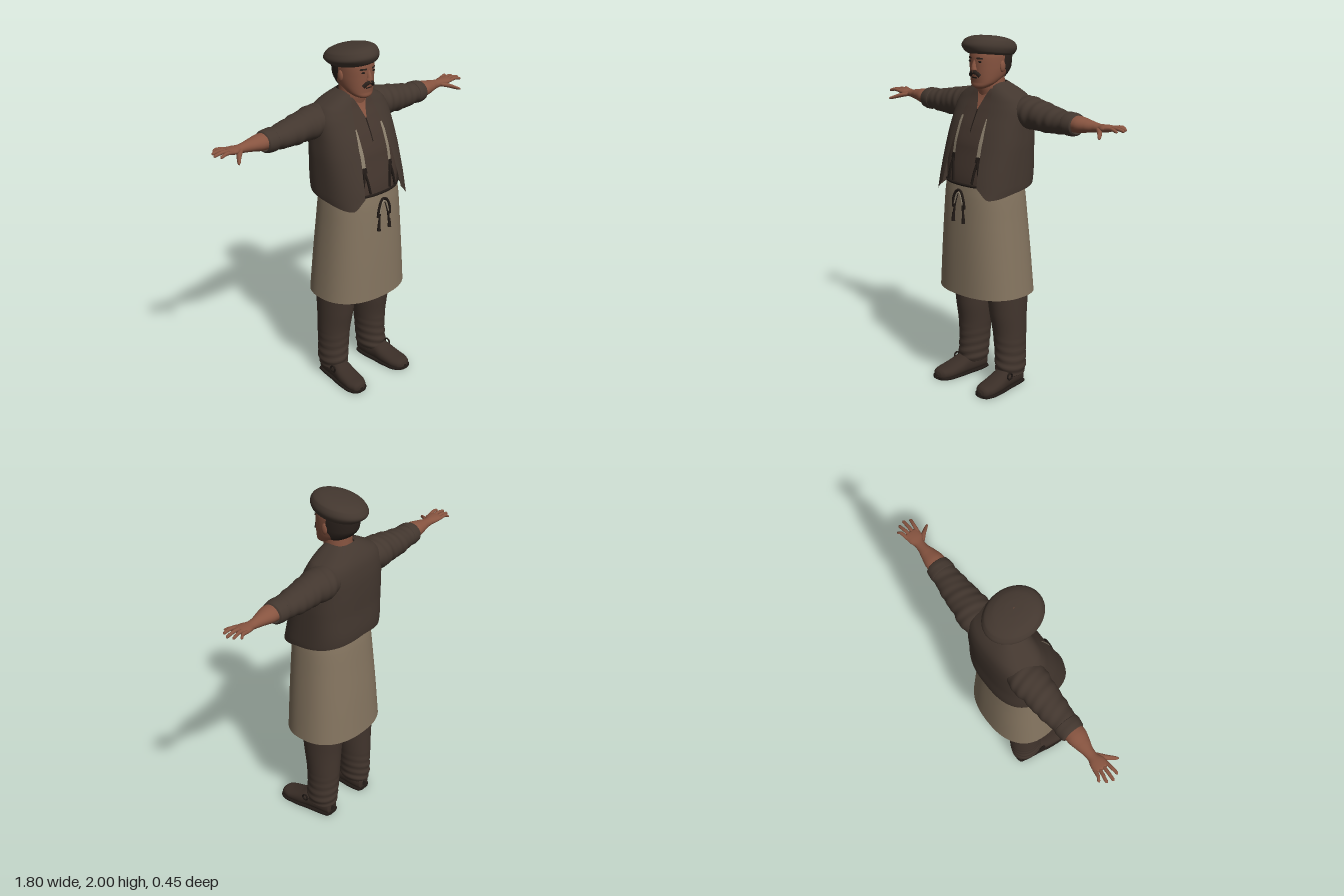
import * as THREE from 'three';
import { ParametricGeometry } from 'three/addons/geometries/ParametricGeometry.js';

const mat = (name, color, side = THREE.DoubleSide) => {
  const m = new THREE.MeshStandardMaterial({ color, side });
  m.name = name;
  return m;
};
const M = {
  skin: mat('skin', 0x875440), vest: mat('dark brown wool', 0x43372f), shirt: mat('brown shirt', 0x44362e),
  apron: mat('tan apron', 0x857560), trousers: mat('brown trousers', 0x43362e), shoes: mat('leather', 0x3a2e27),
  hair: mat('dark hair', 0x2a211c), strap: mat('beige strap', 0x8c806d), dark: mat('dark trim', 0x211a16),
};

// Smooth monotone lookup in rows of [position, ...values]
function sample(rows, p) {
  const n = rows.length;
  let i = 0;
  while (i < n - 2 && p > rows[i + 1][0]) i++;
  const a = rows[i], b = rows[i + 1], h = b[0] - a[0];
  const t = THREE.MathUtils.clamp((p - a[0]) / h, 0, 1);
  return a.slice(1).map((_, j) => {
    const k = j + 1;
    const d = q => (rows[q + 1][k] - rows[q][k]) / (rows[q + 1][0] - rows[q][0]);
    const m = q => {
      if (q === 0) return d(0);
      if (q === n - 1) return d(n - 2);
      const e = d(q - 1), f = d(q);
      return e * f > 0 ? 2 * e * f / (e + f) : 0;
    };
    const t2 = t * t, t3 = t2 * t;
    return a[k] * (2 * t3 - 3 * t2 + 1) + b[k] * (3 * t2 - 2 * t3) + h * (m(i) * (t3 - 2 * t2 + t) + m(i + 1) * (t3 - t2));
  });
}
const pw = (v, p) => Math.sign(v) * Math.abs(v) ** p;

// Skin over elliptical rings: rows are [position on axis, centre 1, centre 2, radius 1, radius 2]
function loft(rows, { axis = 'y', p = 1, side = 1, around = 28, steps = 4, ripple = 0, fix = null } = {}) {
  const n = rows.length - 1;
  return new ParametricGeometry((u, v, out) => {
    const a = (side > 0 ? u : 1 - u) * Math.PI * 2;
    const i = Math.min(n - 1, Math.floor(v * n));
    const pos = THREE.MathUtils.lerp(rows[i][0], rows[i + 1][0], v * n - i);
    const [c1, c2, r1, r2] = sample(rows, pos);
    const k = 1 + ripple * Math.sin(pos * 95 + 1.5 * Math.sin(a)) * Math.sin(pos * 23 + a);
    const s = c1 + r1 * k * pw(Math.sin(a), p), c = c2 + r2 * k * pw(Math.cos(a), p);
    if (axis === 'y') out.set(s, pos, c);
    else if (axis === 'x') out.set(pos, c, s);
    else out.set(c, s, pos);
    if (fix) fix(out);
    out.x *= side;
  }, around, n * steps);
}

// Height of a lofted front surface, and thin plates that follow it
function frontZ(rows, p, x, y) {
  const [, c, w, r] = sample(rows, y);
  const s = Math.min(1, (Math.abs(x) / w) ** (1 / p));
  return c + r * Math.sqrt(1 - s * s) ** p;
}
function plate(rows, base, p, offset) {
  return new ParametricGeometry((u, v, out) => {
    const y = THREE.MathUtils.lerp(rows[0][0], rows[rows.length - 1][0], v);
    const [a, b] = sample(rows, y), x = a + (b - a) * u;
    out.set(x, y, frontZ(base, p, x, y) + offset);
  }, 6, 14);
}
// Open shell that wraps round the back, leaving a gap in front
function wrap(base, p, gap, hem, top) {
  return new ParametricGeometry((u, v, out) => {
    const y = THREE.MathUtils.lerp(sample(hem, 1 - Math.abs(2 * u - 1))[0], top, v);
    const [, c, w, r] = sample(base, y), g = gap(y, w), a = g + u * 2 * (Math.PI - g);
    out.set(w * pw(Math.sin(a), p), y, c + r * pw(Math.cos(a), p));
  }, 56, 26);
}
// Rows of [y, half width, front z, back z] turned into loft rows
const body = rows => rows.map(([y, w, f, b]) => [y, 0, (f + b) / 2, w, (f - b) / 2]);

export function createModel() {
  const root = new THREE.Group();
  const add = (name, geo, m, parent = root) => {
    const mesh = new THREE.Mesh(geo, m);
    mesh.name = name;
    parent.add(mesh);
    return mesh;
  };
  const cord = (name, pts, r, m) => add(name, new THREE.TubeGeometry(
    new THREE.CatmullRomCurve3(pts.map(q => new THREE.Vector3(...q))), 20, r, 8), m);

  // Torso: shirt with an open vest over it
  const P = 0.75;
  const shirt = body([[1.12, .2, .17, -.16], [1.2, .215, .178, -.17], [1.4, .235, .142, -.205], [1.5, .235, .108, -.207],
    [1.6, .228, .06, -.2], [1.66, .2, .03, -.185], [1.7, .145, .015, -.16], [1.73, .07, 0, -.12]]);
  const vest = body([[1.13, .25, .238, -.2], [1.2, .256, .218, -.22], [1.4, .255, .157, -.222], [1.5, .25, .12, -.222],
    [1.6, .245, .072, -.215], [1.66, .22, .043, -.2], [1.7, .16, .027, -.175], [1.745, .075, 0, -.125]]);
  add('shirt', loft(shirt, { p: P, around: 48 }), M.shirt);
  const opening = [[1.13, .15], [1.2, .135], [1.4, .118], [1.55, .1], [1.7, .07], [1.745, .055]];
  add('vest', wrap(vest, P, (y, w) => Math.asin((sample(opening, y)[0] / w) ** (1 / P)),
    [[0, 1.2], [.12, 1.14], [.5, 1.18], [1, 1.225]], 1.745), M.vest);
  add('openNeckline', plate([[1.6, -.004, .004], [1.66, -.025, .025], [1.725, -.055, .055]], shirt, P, .004), M.skin);
  add('placket', plate([[1.48, -.003, .003], [1.6, -.004, .004]], shirt, P, .004), M.dark);

  // Apron with waist cord and bow
  const apron = body([[.567, .28, .212, -.23], [.8, .261, .208, -.215], [1, .244, .201, -.198], [1.13, .233, .194, -.186], [1.2, .224, .186, -.176]]);
  add('apron', loft(apron, { p: .85, around: 56 }), M.apron);
  add('waistCord', loft(body([[1.192, .226, .189, -.18], [1.199, .229, .191, -.183], [1.206, .222, .184, -.174]]), { p: .85, around: 56 }), M.dark);
  cord('bowLoop', [[-.045, 1.07, .208], [-.04, 1.12, .211], [-.018, 1.165, .208], [0, 1.172, .206], [.018, 1.165, .208], [.04, 1.12, .211], [.045, 1.07, .208]], .007, M.dark);
  cord('bowLoopInner', [[-.032, 1.09, .21], [-.012, 1.15, .209], [0, 1.157, .208], [.012, 1.15, .209], [.032, 1.09, .21]], .005, M.strap);

  // Head and neck
  const head = [[1.712, 0, .045, .02, .018], [1.725, 0, .035, .05, .045], [1.75, 0, .01, .074, .071], [1.79, 0, -.02, .088, .105],
    [1.83, 0, -.032, .094, .119], [1.88, 0, -.034, .096, .122], [1.92, 0, -.035, .09, .115], [1.935, 0, -.035, .04, .05]];
  add('neck', loft([[1.6, 0, -.065, .08, .075], [1.68, 0, -.05, .078, .08], [1.73, 0, -.04, .075, .078], [1.82, 0, -.04, .07, .075]]), M.skin);
  add('head', loft(head, { p: .92, around: 40 }), M.skin);
  const scalp = head.map(([y, a, b, w, r]) => [y, a, b, w + .007, r + .007]);
  add('hair', wrap(scalp, .92, () => 1.62, [[0, 1.825], [.12, 1.81], [.3, 1.775], [1, 1.765]], 1.92), M.hair);
  add('nose', loft([[1.812, 0, .085, .008, .006], [1.82, 0, .088, .019, .018], [1.835, 0, .088, .014, .016],
    [1.865, 0, .082, .009, .01], [1.88, 0, .078, .005, .006]], { around: 16 }), M.skin);
  add('mouth', plate([[1.772, -.018, .018], [1.779, -.022, .022]], head, .92, .003), M.dark);

  // Flat cap, tipped back and to one side
  const cap = add('cap', loft([[-.002, 0, -.03, .06, .07], [0, 0, -.03, .1, .122], [.018, -.004, -.031, .124, .152], [.044, -.009, -.033, .137, .166],
    [.072, -.006, -.03, .127, .152], [.092, -.003, -.022, .095, .115], [.102, 0, -.015, .045, .055], [.104, 0, -.015, .002, .002]], { around: 44 }), M.vest);
  cap.position.y = 1.893;
  cap.rotation.set(-.14, 0, .06);

  for (const side of [1, -1]) {
    const label = side > 0 ? 'left' : 'right';
    const span = (y, a, b) => side > 0 ? [y, a, b] : [y, -b, -a];
    const face = (x, y, d) => [side * x, y, frontZ(head, .92, x, y) + d];

    // Face details
    const ear = add(label + 'Ear', new THREE.SphereGeometry(1, 14, 10), M.skin);
    ear.position.set(side * .099, 1.835, -.03);
    ear.scale.set(.01, .031, .019);
    const eye = add(label + 'Eye', new THREE.SphereGeometry(1, 12, 8), M.dark);
    eye.position.set(...face(.036, 1.863, 0));
    eye.scale.set(.013, .006, .004);
    add(label + 'Eyebrow', plate([span(1.877, .018, .056), span(1.886, .02, .052)], head, .92, .004), M.hair);
    cord(label + 'Moustache', [face(0, 1.806, .006), face(.018, 1.802, .005), face(.036, 1.785, .001)], .011, M.hair);

    // Shirt collar, braces and their forked ends
    add(label + 'Collar', plate([span(1.6, .004, .014), span(1.66, .025, .045), span(1.715, .052, .078)], shirt, P, .009), M.shirt);
    add(label + 'Brace', plate([span(1.345, .084, .107), span(1.56, .088, .109)], shirt, P, .007), M.strap);
    add(label + 'BraceClip', plate([span(1.33, .08, .111), span(1.36, .082, .109)], shirt, P, .009), M.dark);
    for (const x of [.072, .122])
      cord(label + 'BraceFork', [[1.335, .095], [1.28, (x + .095) / 2], [1.21, x]].map(([y, q]) => [side * q, y, frontZ(shirt, P, q, y) + .005]), .007, M.dark);

    // Bow ends hanging down the apron
    cord(label + 'BowEnd', [[side * .012, 1.16, .203], [side * .03, 1.09, .208], [side * .04, 1.0, .211]], .006, M.dark);
    const tip = add(label + 'BowTip', new THREE.CylinderGeometry(.006, .011, .05, 10), M.dark);
    tip.position.set(side * .04, 1.015, .212);

    // Sleeve with rolled cuff
    add(label + 'Sleeve', loft([[.13, -.1, 1.6, .08, .07], [.22, -.105, 1.592, .102, .09], [.3, -.101, 1.588, .092, .083], [.4, -.1, 1.577, .083, .074],
      [.5, -.096, 1.573, .07, .061], [.56, -.095, 1.573, .062, .055]], { axis: 'x', side, around: 36, steps: 10, ripple: .035 }), M.vest);
    add(label + 'Cuff', loft([[.515, -.095, 1.574, .058, .05], [.522, -.095, 1.574, .07, .062], [.55, -.095, 1.573, .071, .063],
      [.578, -.095, 1.573, .066, .058], [.586, -.095, 1.573, .056, .048]], { axis: 'x', side, ripple: .02 }), M.vest);

    // Forearm, palm, fingers and thumb
    add(label + 'Forearm', loft([[.52, -.094, 1.576, .05, .045], [.6, -.093, 1.579, .055, .044], [.66, -.095, 1.579, .042, .034], [.71, -.097, 1.578, .029, .026],
      [.735, -.097, 1.579, .028, .022], [.775, -.096, 1.583, .042, .02], [.81, -.098, 1.586, .044, .015], [.822, -.098, 1.587, .025, .006]], { axis: 'x', side }), M.skin);
    for (const [z0, z1, x1] of [[-.132, -.15, .862], [-.11, -.122, .888], [-.087, -.09, .9], [-.064, -.055, .884]])
      add(label + 'Finger', loft([[.795, z0, 1.586, .0105, .01], [.84, (z0 + z1) / 2, 1.593, .0098, .0095], [x1 - .008, z1, 1.586, .0085, .008], [x1, z1, 1.584, .002, .002]],
        { axis: 'x', side, around: 12 }), M.skin);
    add(label + 'Thumb', loft([[.735, -.08, 1.576, .016, .012], [.775, -.047, 1.567, .02, .013], [.802, -.014, 1.556, .016, .01], [.816, .002, 1.551, .009, .007], [.82, .006, 1.55, .002, .002]],
      { axis: 'x', side, around: 14 }), M.skin);

    // Trouser leg with folds gathered at the ankle
    add(label + 'TrouserLeg', loft([[.06, .152, -.05, .05, .06], [.072, .152, -.05, .073, .088], [.12, .152, -.05, .081, .097], [.2, .147, -.053, .083, .098],
      [.3, .143, -.052, .088, .102], [.45, .137, -.043, .098, .117], [.57, .135, -.04, .103, .13], [.8, .12, -.02, .115, .14], [1.1, .11, 0, .1, .13]],
      { side, around: 32, steps: 7, fix: q => {
        const k = 1 + .045 * Math.max(0, 1 - q.y / .32) * Math.sin(q.y * 120 + q.x * 30);
        q.x = .148 + (q.x - .148) * k;
        q.z = -.05 + (q.z + .05) * k;
      } }), M.trousers);

    // Shoe, sole and buckle
    const shoe = [[-.13, .045, .15, .02, .02], [-.12, .048, .15, .05, .042], [-.05, .055, .153, .058, .054], [.02, .053, .16, .058, .057], [.09, .04, .167, .045, .063],
      [.15, .032, .172, .036, .063], [.2, .028, .176, .03, .048], [.215, .025, .178, .022, .032], [.222, .022, .178, .008, .01]];
    add(label + 'Shoe', loft(shoe, { axis: 'z', side, p: .85, fix: q => { q.y = Math.max(q.y, .004); } }), M.shoes);
    add(label + 'Sole', loft(shoe.map(([z, a, b, r, w]) => [z * 1.01, .008, b, .012, w + .006]),
      { axis: 'z', side, p: .6, fix: q => { q.y = THREE.MathUtils.clamp(q.y, 0, .016); } }), M.dark);
    const buckle = add(label + 'Buckle', new THREE.TorusGeometry(.018, .005, 8, 18), M.dark);
    buckle.position.set(side * .222, .082, .025);
    buckle.rotation.y = Math.PI / 2;
  }
  return root;
}
